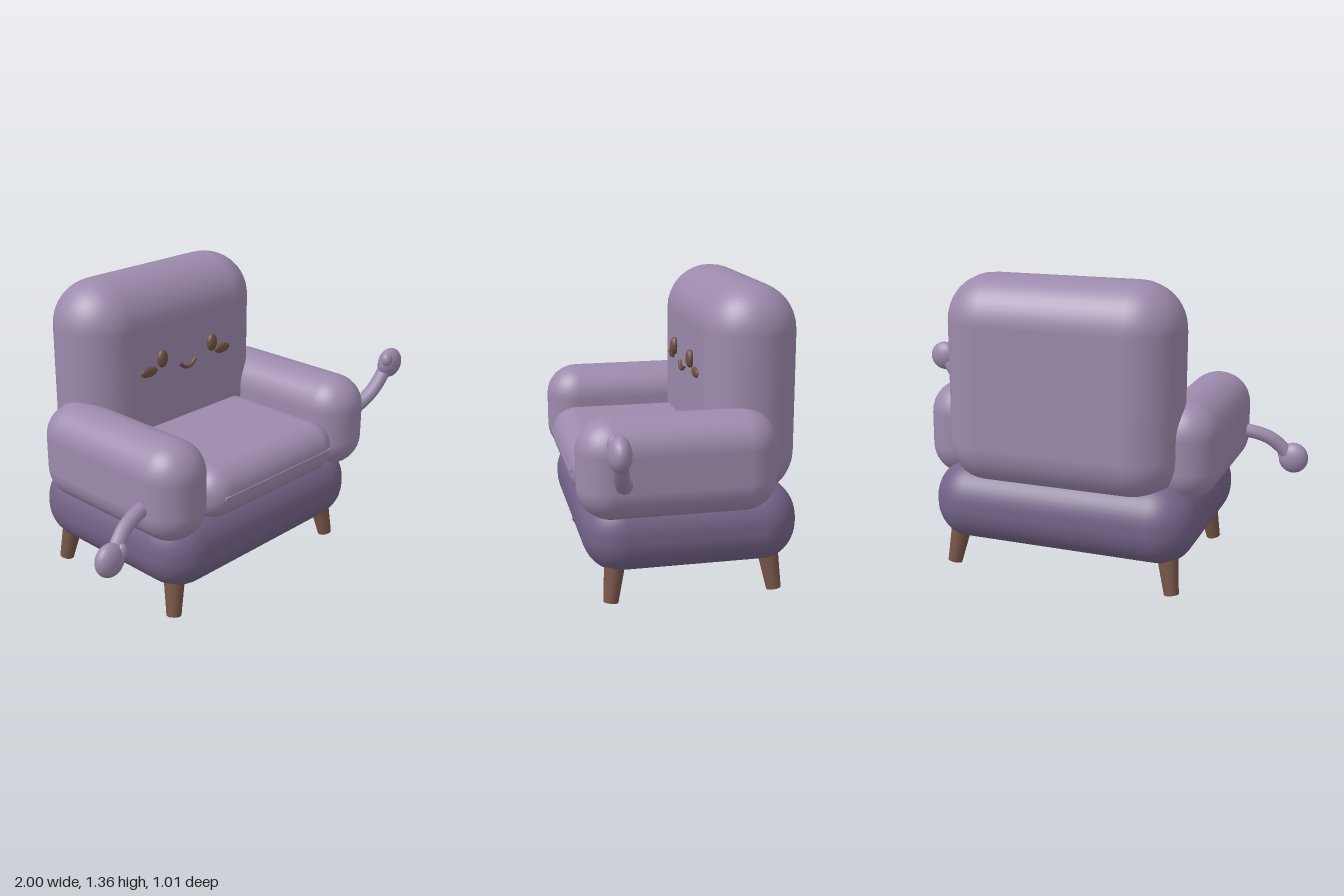
import * as THREE from 'three';
import { RoundedBoxGeometry } from 'three/addons/geometries/RoundedBoxGeometry.js';

const material = (name, color) => {
  const m = new THREE.MeshStandardMaterial({ color });
  m.name = name;
  return m;
};

export function createModel() {
  const group = new THREE.Group();
  const fabric = material('lilac fabric', 0x9c8aac);
  const darkFabric = material('dark purple fabric', 0x756489);
  const wood = material('brown wood', 0x785648);
  const faceBrown = material('face brown', 0x6e4f41);
  const CX = -0.035; // middle of the chair body

  const add = (name, geometry, mat, parent = group) => {
    const mesh = new THREE.Mesh(geometry, mat);
    mesh.name = name;
    parent.add(mesh);
    return mesh;
  };

  // Padded block given by its lower and upper limits
  const pad = (name, mat, [x0, x1], [y0, y1], [z0, z1], radius, segments = 5) => {
    const g = new RoundedBoxGeometry(x1 - x0, y1 - y0, z1 - z0, segments, radius);
    g.translate((x0 + x1) / 2, (y0 + y1) / 2, (z0 + z1) / 2);
    return add(name, g, mat);
  };

  const ellipsoid = (name, mat, pos, radii, parent) => {
    const mesh = add(name, new THREE.SphereGeometry(1, 20, 14), mat, parent);
    mesh.position.set(...pos);
    mesh.scale.set(...radii);
    return mesh;
  };

  const tube = (name, mat, points, radius, parent) => {
    const curve = new THREE.CatmullRomCurve3(points.map((p) => new THREE.Vector3(...p)));
    return add(name, new THREE.TubeGeometry(curve, 20, radius, 10), mat, parent);
  };

  // Base, cut flat underneath
  const base = pad('base', darkFabric, [-0.65, 0.58], [0.12, 0.5], [-0.49, 0.47], 0.18, 6);
  const p = base.geometry.attributes.position;
  const n = base.geometry.attributes.normal;
  for (let i = 0; i < p.count; i++) {
    if (p.getY(i) < 0.155) {
      p.setY(i, 0.155);
      n.setXYZ(i, 0, -1, 0);
    }
  }

  // Upholstery
  pad('backrest', fabric, [-0.575, 0.505], [0.395, 1.355], [-0.505, -0.085], 0.209);
  pad('seatCushion', fabric, [-0.46, 0.39], [0.43, 0.67], [-0.3, 0.5], 0.115);
  for (const [side, s] of [['right', -1], ['left', 1]]) {
    const x = CX + s * 0.53;
    pad(side + 'Armrest', fabric, [x - 0.15, x + 0.15], [0.395, 0.84], [-0.37, 0.5], 0.148);
  }
  const seam = add('cushionSeam', new THREE.CylinderGeometry(0.008, 0.008, 0.7, 8), fabric);
  seam.rotation.z = Math.PI / 2;
  seam.position.set(CX, 0.555, 0.495);

  // Splayed tapered legs
  for (const sx of [-1, 1]) {
    for (const sz of [-1, 1]) {
      const top = new THREE.Vector3(CX + sx * 0.493, 0.2, -0.01 + sz * 0.341);
      const foot = new THREE.Vector3(CX + sx * 0.525, 0.006, -0.01 + sz * 0.368);
      const dir = top.clone().sub(foot);
      const leg = add('leg', new THREE.CylinderGeometry(0.049, 0.033, dir.length(), 18), wood);
      leg.position.copy(top).add(foot).multiplyScalar(0.5);
      leg.quaternion.setFromUnitVectors(new THREE.Vector3(0, 1, 0), dir.normalize());
    }
  }

  // Thin arms with mitten hands
  const rightArm = new THREE.Group();
  rightArm.name = 'rightArm';
  tube('rightForearm', fabric,
    [[-0.66, 0.575, 0.325], [-0.74, 0.567, 0.34], [-0.82, 0.54, 0.355], [-0.875, 0.495, 0.37], [-0.92, 0.44, 0.38]],
    0.033, rightArm);
  ellipsoid('rightHand', fabric, [-0.93, 0.445, 0.382], [0.07, 0.073, 0.046], rightArm);
  ellipsoid('rightThumb', fabric, [-0.878, 0.467, 0.395], [0.026, 0.04, 0.028], rightArm);
  const leftArm = new THREE.Group();
  leftArm.name = 'leftArm';
  tube('leftForearm', fabric,
    [[0.6, 0.58, 0.31], [0.68, 0.592, 0.325], [0.76, 0.625, 0.345], [0.83, 0.685, 0.365], [0.91, 0.79, 0.38]],
    0.034, leftArm);
  ellipsoid('leftHand', fabric, [0.922, 0.8, 0.384], [0.076, 0.073, 0.047], leftArm);
  ellipsoid('leftThumb', fabric, [0.875, 0.828, 0.397], [0.03, 0.036, 0.028], leftArm);
  group.add(rightArm, leftArm);

  // Face on the backrest
  const face = new THREE.Group();
  face.name = 'face';
  for (const s of [-1, 1]) {
    ellipsoid('eye', faceBrown, [CX + s * 0.16, 0.99, -0.076], [0.029, 0.042, 0.02], face);
    ellipsoid('cheek', faceBrown, [CX + s * 0.236, 0.943, -0.083], [0.05, 0.024, 0.014], face);
  }
  tube('mouth', faceBrown,
    [[CX - 0.05, 0.938, -0.078], [CX - 0.025, 0.918, -0.075], [CX, 0.911, -0.074], [CX + 0.025, 0.918, -0.075], [CX + 0.05, 0.938, -0.078]],
    0.009, face);
  group.add(face);

  return group;
}
